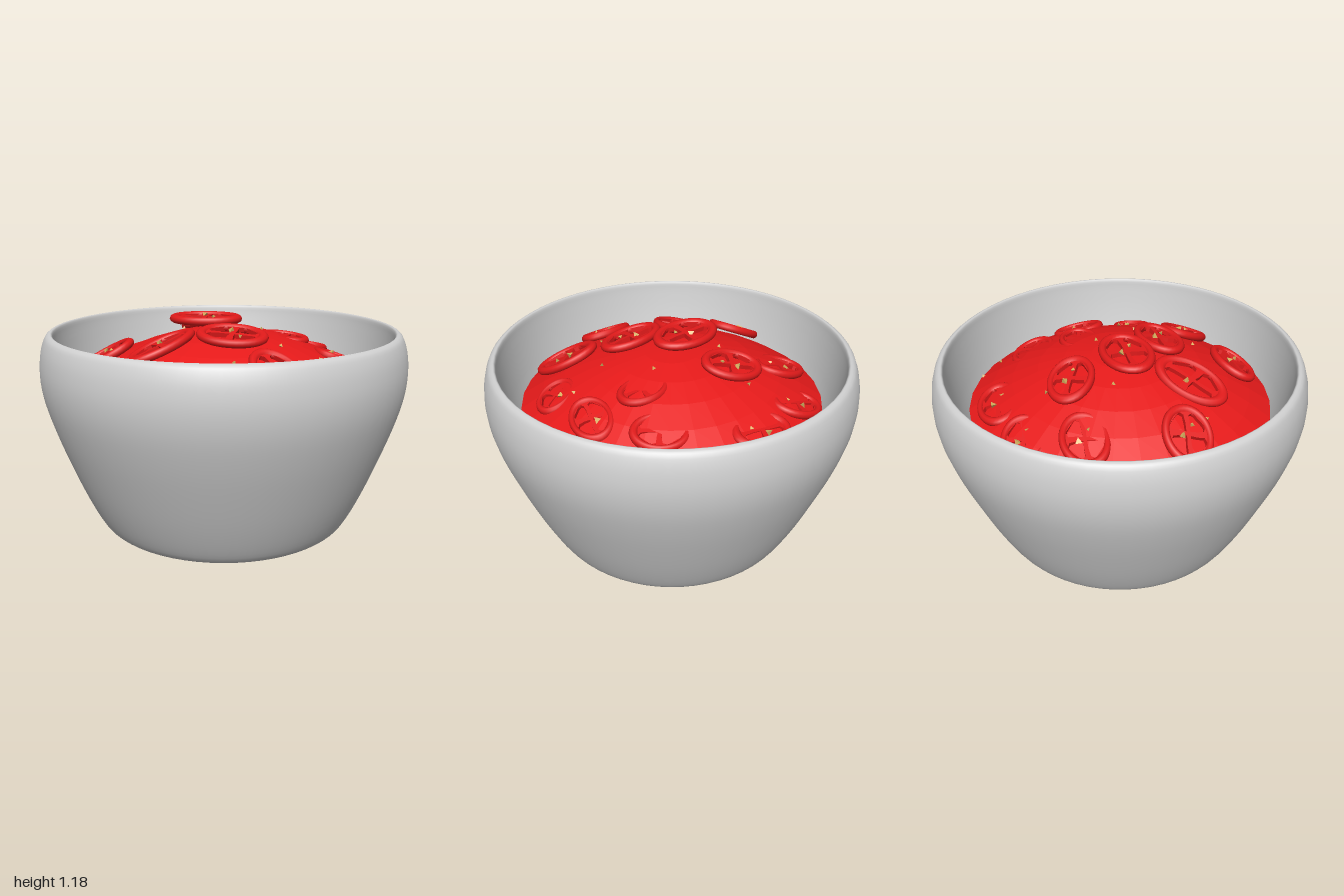
import * as THREE from 'three';

export function createModel() {
  const model = new THREE.Group();
  const mat = (name, color, extra = {}) => {
    const m = new THREE.MeshStandardMaterial({ color, ...extra });
    m.name = name;
    return m;
  };
  const ceramic = mat('grey ceramic', 0xd0d0d0);
  const sauce = mat('red sauce', 0xe81a1a, { flatShading: true });
  const flesh = mat('red pepper flesh', 0xe01a1a);
  const seedMat = mat('golden seed', 0xd8b060, { flatShading: true });

  const add = (parent, name, geometry, material) => {
    const mesh = new THREE.Mesh(geometry, material);
    mesh.name = name;
    parent.add(mesh);
    return mesh;
  };
  const points = (list) => list.map(([x, y]) => new THREE.Vector2(x, y));

  // Bowl: smooth outer wall, rounded rim, then the inner wall down to its floor
  const outer = new THREE.SplineCurve(points([
    [0.55, 0.001], [0.62, 0.005], [0.68, 0.022], [0.728, 0.085], [0.8, 0.235], [0.875, 0.42], [0.94, 0.6],
    [0.985, 0.76], [1, 0.89], [0.99, 1.0], [0.966, 1.075], [0.945, 1.097],
  ])).getPoints(40);
  const inner = new THREE.SplineCurve(points([
    [0.935, 1.1], [0.924, 1.09], [0.915, 1.03], [0.885, 0.88], [0.835, 0.7], [0.7, 0.35], [0.5, 0.14],
  ])).getPoints(20);
  add(model, 'bowl', new THREE.LatheGeometry(
    [new THREE.Vector2(0, 0), ...outer, ...inner, new THREE.Vector2(0, 0.1)], 64), ceramic);

  // Heaped sauce: a faceted dome
  const K = 0.42;
  const domeY = (x, z) => 1.1 - K * (x * x + z * z);
  const domeNormal = (x, z) => new THREE.Vector3(2 * K * x, 1, 2 * K * z).normalize();
  const domeProfile = [0.82, 0.7, 0.58, 0.44, 0.3, 0.15, 0].map((r) => [r, domeY(r, 0)]);
  add(model, 'sauce', new THREE.LatheGeometry(points([[0.82, 0.68], ...domeProfile]), 32), sauce);

  // Slice parts at unit radius: rounded skin ring and a web with four seed chambers
  const ringGeo = new THREE.TorusGeometry(0.85, 0.15, 10, 36).rotateX(Math.PI / 2);
  ringGeo.scale(1, 0.023 / 0.15, 1);
  const web = new THREE.Shape().absarc(0, 0, 0.82, 0, Math.PI * 2);
  for (let i = 0; i < 4; i++) {
    const at = (r, a) => {
      const t = a + 0.7 + i * Math.PI / 2;
      return new THREE.Vector2(r * Math.cos(t), r * Math.sin(t));
    };
    web.holes.push(new THREE.Path([
      at(0.1, 0), at(0.36, -0.6), at(0.62, -0.62), at(0.74, -0.42),
      at(0.68, 0), at(0.74, 0.42), at(0.62, 0.62), at(0.36, 0.5),
    ]));
  }
  const webGeo = new THREE.ExtrudeGeometry(web, { depth: 0.024, bevelEnabled: false, curveSegments: 18 });
  webGeo.rotateX(-Math.PI / 2).translate(0, -0.012, 0);
  const seedGeo = new THREE.TetrahedronGeometry(0.022);

  // x, z, long radius, short radius, turn, height offset, raised-side angle, lift, seeds
  const slices = [
    [-0.1, 0, 0.2, 0.14, 0, 0.055, 3.14, 0.084, 2],
    [0.07, 0.25, 0.19, 0.13, 0, 0.03, 0, 0, 2],
    [-0.13, -0.31, 0.17, 0.125, 0.5, 0.02, 0, 0, 2],
    [-0.63, 0.12, 0.17, 0.13, 0.1, 0.035, 0, 0, 2],
    [0.32, 0.51, 0.19, 0.13, 0.9, 0.02, 0, 0, 2],
    [-0.07, 0.64, 0.17, 0.12, -0.15, 0.02, 1.57, 0.05, 2],
    [-0.3, 0.28, 0.21, 0.13, -0.7, 0.012, 0.9, 0.15, 1],
    [-0.48, -0.35, 0.17, 0.125, 0.1, -0.008, -2, 0.2, 2],
    [-0.31, -0.61, 0.16, 0.12, 0.2, -0.014, -1.6, 0.26, 2],
    [0.03, -0.66, 0.17, 0.12, 0.2, -0.014, -1.4, 0.26, 2],
    [0.44, -0.37, 0.15, 0.12, 0.7, -0.018, -0.3, 0.2, 0],
    [0.33, -0.13, 0.14, 0.11, 0.2, -0.018, -0.6, 0.2, 0],
    [0.6, -0.05, 0.15, 0.11, -1.2, -0.004, 0.5, 0.18, 1],
    [0.57, 0.28, 0.13, 0.1, -0.3, -0.01, 0.9, 0.2, 1],
  ];
  slices.forEach(([x, z, rx, rz, turn, offset, side, lift, seeds], i) => {
    const slice = new THREE.Group();
    slice.name = 'pepperSlice' + (i + 1);
    const up = domeNormal(x, z);
    up.x -= lift * Math.cos(side);
    up.z -= lift * Math.sin(side);
    up.normalize();
    const along = new THREE.Vector3(Math.cos(turn), 0, Math.sin(turn));
    along.addScaledVector(up, -along.dot(up)).normalize();
    const across = new THREE.Vector3().crossVectors(along, up);
    slice.quaternion.setFromRotationMatrix(new THREE.Matrix4().makeBasis(along, up, across));
    slice.position.set(x, domeY(x, z) + offset, z);
    add(slice, 'skinRing', ringGeo, flesh).scale.set(rx, 1, rz);
    add(slice, 'web', webGeo, flesh).scale.set(rx, 1, rz);
    // one large seed by the middle and a smaller one beside it
    for (let s = 0; s < seeds; s++) {
      const t = -1.8 - turn + s * 2.4;
      const r = 0.035 + s * 0.02;
      const seed = add(slice, 'seed', seedGeo, seedMat);
      seed.position.set(r * Math.cos(t), 0.014, r * Math.sin(t));
      seed.rotation.set(i, i * 2, s);
      seed.scale.setScalar(1 - s * 0.35);
    }
    model.add(slice);
  });

  // Loose seeds scattered over the sauce
  [[0.53, -0.55], [0.2, -0.07], [-0.24, -0.12], [0.53, 0.18], [0.1, 0.47], [-0.53, 0.27], [-0.2, -0.79],
    [0.7, -0.38], [0.32, 0.2], [-0.12, -0.44], [0.45, -0.67], [-0.15, 0.69]].forEach(([x, z], i) => {
    const seed = add(model, 'looseSeed', seedGeo, seedMat);
    seed.position.set(x, domeY(x, z) + 0.004, z);
    seed.rotation.set(i, i * 2, 0);
    seed.scale.setScalar(0.6);
  });

  return model;
}
